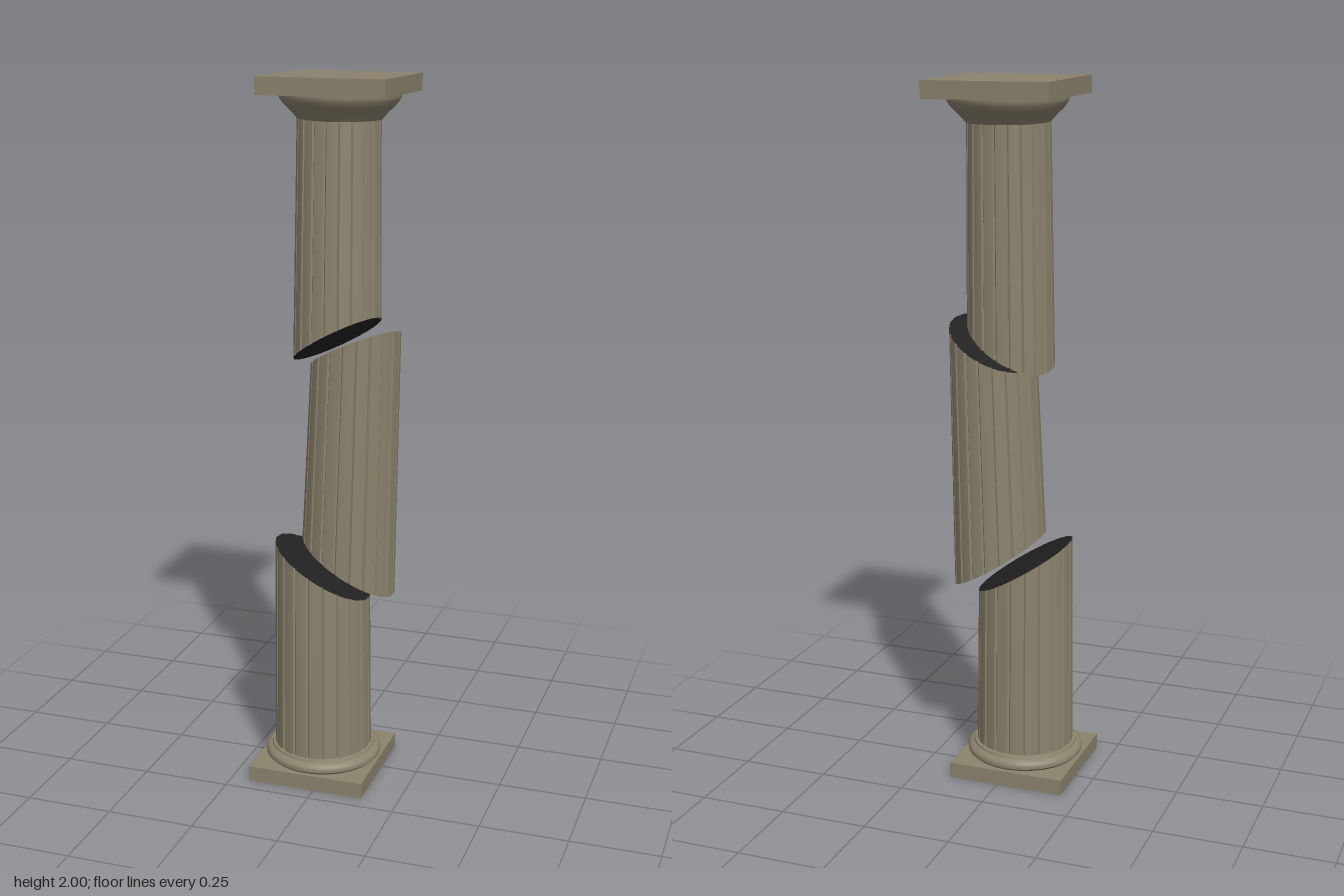
import * as THREE from 'three';
import { toCreasedNormals } from 'three/addons/utils/BufferGeometryUtils.js';

const stone = new THREE.MeshStandardMaterial({ color: 0x8b836d });
stone.name = 'stone';
const brokenStone = new THREE.MeshStandardMaterial({ color: 0x222222 });
brokenStone.name = 'dark broken stone';

const FLUTES = 20;
// Position inside one flute (0..1) and groove depth there
const FLUTE_PROFILE = [[0, 0.004], [0.1, 0], [0.37, 0], [0.63, 0], [0.9, 0]];

// Ring of points around an end: centre c, radius r, plane slopes sx and sz
function endRing({ c, r, sx = 0, sz = 0 }) {
  const points = [];
  for (let i = 0; i < FLUTES; i++) {
    for (const [t, depth] of FLUTE_PROFILE) {
      const a = ((i + t) / FLUTES) * Math.PI * 2;
      const x = (r - depth) * Math.cos(a);
      const z = (r - depth) * Math.sin(a);
      points.push([c[0] + x, c[1] + sx * x + sz * z, c[2] + z]);
    }
  }
  return points;
}

function meshFrom(name, triangles, material) {
  let geometry = new THREE.BufferGeometry();
  geometry.setAttribute('position', new THREE.Float32BufferAttribute(triangles.flat(2), 3));
  geometry = toCreasedNormals(geometry, 0.4);
  const mesh = new THREE.Mesh(geometry, material);
  mesh.name = name;
  return mesh;
}

// Grooved drum between two slanted ends, with flat dark break faces
function shaftPiece(name, bottom, top) {
  const low = endRing(bottom);
  const high = endRing(top);
  const side = [], lowCap = [], highCap = [];
  low.forEach((a0, i) => {
    const j = (i + 1) % low.length;
    const b0 = low[j], a1 = high[i], b1 = high[j];
    side.push([a0, a1, b1], [a0, b1, b0]);
    lowCap.push([bottom.c, a0, b0]);
    highCap.push([top.c, b1, a1]);
  });
  const group = new THREE.Group();
  group.name = name;
  group.add(meshFrom(name + 'Side', side, stone));
  group.add(meshFrom(name + 'LowerFace', lowCap, brokenStone));
  group.add(meshFrom(name + 'UpperFace', highCap, brokenStone));
  return group;
}

function add(parent, name, geometry, x, y, z) {
  const mesh = new THREE.Mesh(geometry, stone);
  mesh.name = name;
  mesh.position.set(x, y, z);
  parent.add(mesh);
}

function turned(profile) {
  const points = profile.map(([r, y]) => new THREE.Vector2(r, y));
  return toCreasedNormals(new THREE.LatheGeometry(points, 48), 0.6);
}

export function createModel() {
  const model = new THREE.Group();
  model.name = 'brokenColumn';

  // Square plinth and rounded base ring
  add(model, 'plinth', new THREE.BoxGeometry(0.34, 0.045, 0.34), -0.025, 0.0225, 0.035);
  add(model, 'baseRing', turned([
    [0.15, 0.045], [0.16, 0.047], [0.167, 0.054], [0.168, 0.062],
    [0.165, 0.07], [0.157, 0.076], [0.15, 0.078], [0.148, 0.084], [0.135, 0.086],
  ]), -0.025, 0, 0.036);

  // Three shifted drums separated by slanted breaks
  model.add(shaftPiece('lowerShaft',
    { c: [-0.025, 0.075, 0.037], r: 0.14 },
    { c: [-0.025, 0.622, 0.037], r: 0.135, sx: -0.59, sz: 0.09 }));
  model.add(shaftPiece('middleShaft',
    { c: [0.049, 0.638, 0.028], r: 0.131, sx: -0.61, sz: 0.1 },
    { c: [0.067, 1.267, 0.024], r: 0.124, sx: 0.46, sz: 0.25 }));
  model.add(shaftPiece('upperShaft',
    { c: [0.001, 1.28, -0.012], r: 0.122, sx: 0.56, sz: 0.25 },
    { c: [0.001, 1.885, -0.028], r: 0.114 }));

  // Slightly leaning capital: flared cushion under a square slab
  const capital = new THREE.Group();
  capital.name = 'capital';
  capital.position.set(0.003, 1.88, -0.029);
  capital.rotation.x = -0.018;
  add(capital, 'cushion', turned([
    [0.1, 0], [0.115, 0.001], [0.12, 0.008], [0.133, 0.022],
    [0.15, 0.038], [0.161, 0.052], [0.165, 0.062], [0.165, 0.07],
  ]), 0, 0, 0);
  add(capital, 'topSlab', new THREE.BoxGeometry(0.355, 0.048, 0.355), 0, 0.093, -0.002);
  model.add(capital);

  return model;
}
